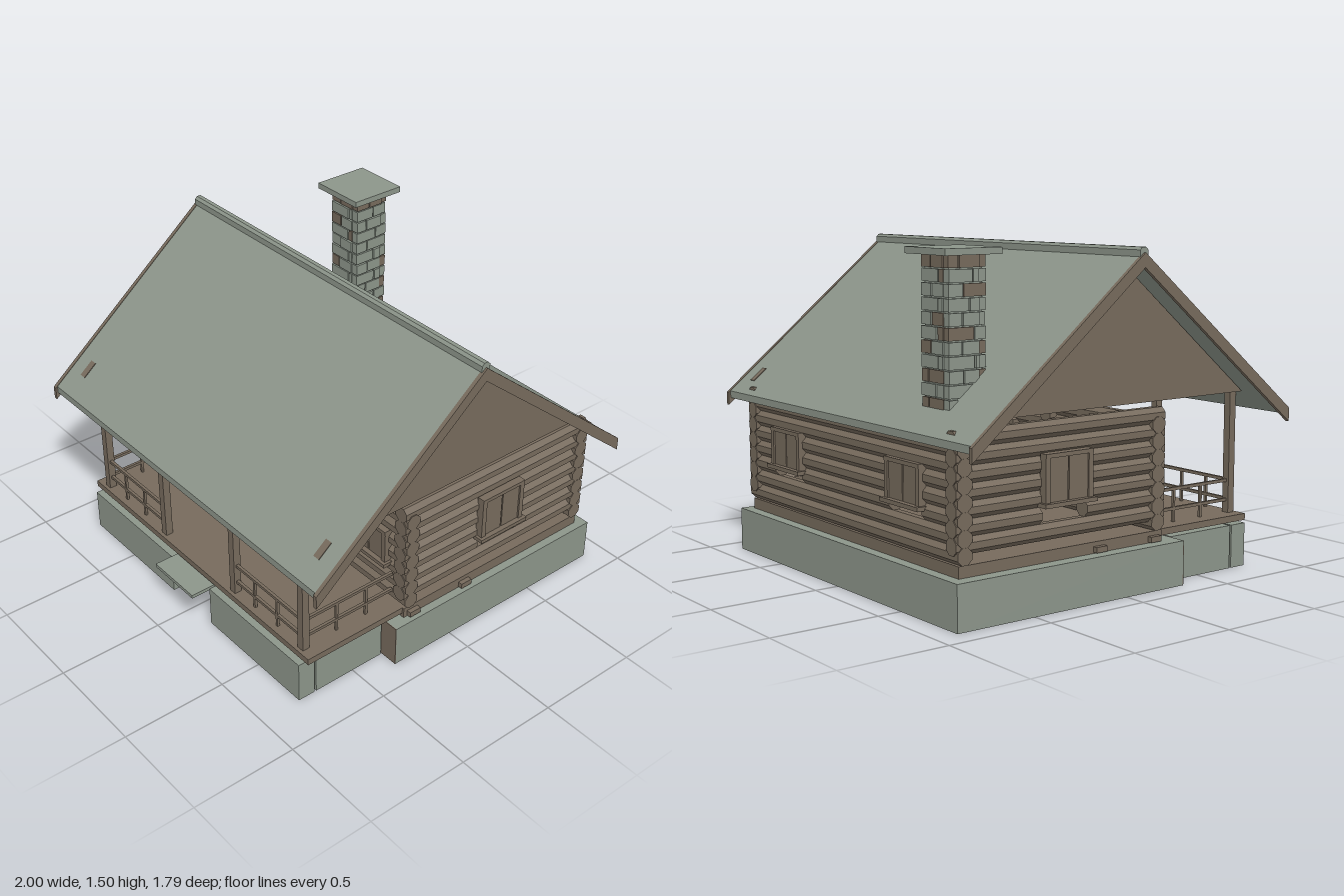
import * as THREE from 'three';

const mat = (name, color) => Object.assign(new THREE.MeshStandardMaterial({ color, flatShading: true }), { name });

export function createModel() {
  const root = new THREE.Group();
  root.name = 'logCabin';
  const wood = mat('brown wood', 0x766a5c);
  const stone = mat('grey green stone', 0x8c958a);

  const group = (name) => {
    const g = new THREE.Group();
    g.name = name;
    root.add(g);
    return g;
  };
  const add = (parent, name, geo, m) => {
    const mesh = new THREE.Mesh(geo, m);
    mesh.name = name;
    parent.add(mesh);
    return mesh;
  };
  // Box given by its limits on each axis
  const box = (parent, name, m, x0, x1, y0, y1, z0, z1) => {
    const mesh = add(parent, name, new THREE.BoxGeometry(x1 - x0, y1 - y0, z1 - z0), m);
    mesh.position.set((x0 + x1) / 2, (y0 + y1) / 2, (z0 + z1) / 2);
    return mesh;
  };
  // Eight-sided log running along x or z
  const log = (parent, axis, a, b, y, side) => {
    const geo = new THREE.CylinderGeometry(0.0385, 0.0385, b - a, 8).rotateY(Math.PI / 8);
    if (axis === 'x') geo.rotateZ(Math.PI / 2);
    else geo.rotateX(Math.PI / 2);
    const mesh = add(parent, 'log', geo, wood);
    if (axis === 'x') mesh.position.set((a + b) / 2, y, side);
    else mesh.position.set(side, y, (a + b) / 2);
  };
  const PITCH = 0.0714;
  // Stacked log wall; openings are [from, to, firstRow, lastRow]
  const logWall = (name, axis, a, b, y0, side, openings) => {
    const g = group(name);
    for (let i = 0; i < 7; i++) {
      let start = a;
      for (const [from, to, first, last] of openings) {
        if (i < first || i > last) continue;
        log(g, axis, start, from, y0 + i * PITCH, side);
        start = to;
      }
      log(g, axis, start, b, y0 + i * PITCH, side);
    }
  };

  // Foundation: solid under the cabin, hollow under the porch
  const base = group('foundation');
  box(base, 'mainFoundation', stone, -0.9, 0.88, 0, 0.2, -0.89, 0.325);
  for (const [x0, x1] of [[-0.9, -0.15], [0.14, 0.88]])
    box(base, 'foundationFrontFace', wood, x0, x1, 0, 0.2, 0.325, 0.329);
  for (const [x0, x1] of [[-0.81, -0.16], [0.14, 0.79]])
    box(base, 'porchFrontWall', stone, x0, x1, 0, 0.2, 0.715, 0.8);
  for (const x of [-0.81, 0.71])
    box(base, 'porchSideWall', stone, x, x + 0.08, 0, 0.2, 0.335, 0.705);

  // Floors, joist ends and steps
  const floor = group('floor');
  box(floor, 'cabinFloor', wood, -0.84, 0.84, 0.2, 0.25, -0.84, 0.25);
  box(floor, 'porchDeck', wood, -0.83, 0.83, 0.22, 0.25, 0.25, 0.78);
  for (const s of [-1, 1]) for (const z of [0.2, -0.11])
    box(floor, 'joistEnd', wood, s * 0.85 - 0.012, s * 0.85 + 0.012, 0.205, 0.23, z - 0.03, z + 0.03);
  box(floor, 'frontStep', stone, -0.15, 0.14, 0.195, 0.212, 0.7, 0.895);
  box(floor, 'doorStep', stone, -0.15, 0.14, 0.25, 0.272, 0.24, 0.34);

  // Interlocking log walls
  for (const s of [-1, 1])
    logWall('sideWall', 'z', -0.855, 0.258, 0.326, s * 0.81, [[-0.42, -0.18, 1, 4]]);
  logWall('backWall', 'x', -0.85, 0.85, 0.288, -0.815,
    [[-0.6, -0.36, 2, 4], [0.36, 0.6, 2, 4]]);
  logWall('frontWall', 'x', -0.85, 0.85, 0.288, 0.218,
    [[-0.72, -0.5, 2, 4], [-0.4, -0.24, 2, 4], [-0.11, 0.11, 0, 4], [0.24, 0.4, 2, 4], [0.5, 0.72, 2, 4]]);
  const stubs = group('partitionLogEnds');
  for (const x of [-0.45, -0.14, 0.14, 0.45])
    for (let i = 0; i < 6; i++) log(stubs, 'z', 0.16, 0.262, 0.326 + i * PITCH, x);

  // Shuttered window facing +z, then turned onto its wall
  const shutters = (name, width, height, x, z, turn) => {
    const g = group(name);
    const w = width / 2;
    for (const s of [-1, 1]) {
      const c = s * w / 2;
      box(g, 'leaf', wood, c - w / 2 + 0.003, c + w / 2 - 0.003, 0, height, -0.012, 0.004);
      box(g, 'sideFrame', wood, s * w - 0.012, s * w + 0.012, 0, height, -0.025, 0.012);
    }
    box(g, 'header', wood, -w - 0.012, w + 0.012, height - 0.018, height, -0.025, 0.014);
    box(g, 'sill', wood, -w - 0.025, w + 0.025, -0.012, 0.006, -0.025, 0.028);
    g.position.set(x, 0.45, z);
    g.rotation.y = turn;
  };
  for (const s of [-1, 1]) {
    shutters('sideWindow', 0.23, 0.21, s * 0.862, -0.3, s * Math.PI / 2);
    shutters('backWindow', 0.23, 0.18, s * 0.48, -0.858, Math.PI);
    shutters('outerFrontWindow', 0.21, 0.17, s * 0.615, 0.262, 0);
    shutters('innerFrontWindow', 0.15, 0.17, s * 0.32, 0.262, 0);
  }

  // Plank door with battens
  const door = group('door');
  for (let i = 0; i < 4; i++)
    box(door, 'plank', wood, -0.098 + i * 0.05, -0.052 + i * 0.05, 0.272, 0.61, 0.235, 0.255);
  for (const y of [0.34, 0.53]) box(door, 'batten', wood, -0.085, 0.085, y, y + 0.02, 0.255, 0.262);
  for (const s of [-1, 1]) box(door, 'jamb', wood, s * 0.11 - 0.01, s * 0.11 + 0.01, 0.25, 0.625, 0.2, 0.265);
  box(door, 'lintel', wood, -0.12, 0.12, 0.61, 0.63, 0.2, 0.268);

  // Porch posts and railings
  const porch = group('porch');
  for (const x of [-0.755, -0.27, 0.27, 0.755])
    box(porch, 'post', wood, x - 0.018, x + 0.018, 0.25, 0.815, 0.727, 0.763);
  for (const s of [-1, 1]) {
    const [x0, x1] = s > 0 ? [0.27, 0.755] : [-0.755, -0.27];
    for (const y of [0.4, 0.31]) {
      box(porch, 'frontRail', wood, x0, x1, y - 0.007, y + 0.007, 0.738, 0.752);
      box(porch, 'sideRail', wood, s * 0.755 - 0.007, s * 0.755 + 0.007, y - 0.007, y + 0.007, 0.25, 0.73);
    }
    for (const t of [0.3, 0.63]) {
      const x = x0 + (x1 - x0) * t;
      const z = 0.25 + 0.5 * t;
      box(porch, 'baluster', wood, x - 0.006, x + 0.006, 0.25, 0.4, 0.739, 0.751);
      box(porch, 'baluster', wood, s * 0.755 - 0.006, s * 0.755 + 0.006, 0.25, 0.4, z - 0.006, z + 0.006);
    }
  }

  // Roof: profiles in (z, y) extruded along x
  const roof = group('roof');
  const profile = (name, m, points, x0, x1) => {
    const shape = new THREE.Shape(points.map(([z, y]) => new THREE.Vector2(z, y)));
    const geo = new THREE.ExtrudeGeometry(shape, { depth: x1 - x0, bevelEnabled: false });
    geo.rotateY(-Math.PI / 2);
    geo.translate(x1, 0, 0);
    add(roof, name, geo, m);
  };
  const chevron = (rise, drop, reach) => {
    const eave = 1.465 - 0.815 * reach + rise;
    return [[reach - 0.01, eave], [-0.01, 1.465 + rise], [-reach - 0.01, eave],
      [-reach - 0.01, eave - drop], [-0.01, 1.465 + rise - drop], [reach - 0.01, eave - drop]];
  };
  profile('roofSlopes', stone, chevron(0, 0.033, 0.87), -0.98, 0.98);
  for (const x of [-0.999, 0.98])
    profile('bargeboard', wood, chevron(0.003, 0.062, 0.88), x, x + 0.019);
  profile('ridgeCap', stone, [[0.012, 1.45], [0.012, 1.478], [0, 1.49], [-0.02, 1.49], [-0.032, 1.478], [-0.032, 1.45]], -0.99, 0.99);
  for (const s of [-1, 1])
    profile('gable', wood, [[0.73, 0.82], [-0.01, 1.43], [-0.75, 0.82]], s * 0.83 - 0.012, s * 0.83 + 0.012);

  // Small rafter end plates on the slopes
  for (const [x, z] of [[-0.88, 0.74], [0.88, 0.74], [0.88, -0.78]]) {
    const s = Math.sign(z);
    const plate = add(roof, 'rafterEnd', new THREE.BoxGeometry(0.034, 0.008, 0.085), wood);
    plate.position.set(x, 1.465 - 0.815 * Math.abs(z + 0.01), z);
    plate.rotation.x = s * Math.atan(0.815);
  }

  // Chimney of uneven stones laid in pinwheel courses
  const chimney = group('chimney');
  let seed = 7;
  const rand = () => (seed = (seed * 16807) % 2147483647) / 2147483647;
  const CX = -0.585, CZ = -0.678, R = 0.09;
  box(chimney, 'core', stone, CX - 0.083, CX + 0.083, 0.25, 1.46, CZ - 0.083, CZ + 0.083);
  const COURSES = 21, H = 1.22 / COURSES;
  for (let i = 0; i < COURSES; i++) {
    const y = 0.25 + i * H;
    for (let k = 0; k < 4; k++) {
      const side = new THREE.Group();
      side.name = 'stoneCourse';
      side.position.set(CX, 0, CZ);
      side.rotation.y = k * Math.PI / 2;
      chimney.add(side);
      const split = (i % 2 ? 0.025 : -0.03) + (rand() - 0.5) * 0.03;
      for (const [x0, x1] of [[-R, split - 0.003], [split + 0.003, R - 0.03]]) {
        const m = i === COURSES - 1 || rand() < 0.14 ? wood : stone;
        box(side, 'stone', m, x0, x1, y + 0.003, y + H - 0.003, R - 0.03, R + 0.002 + rand() * 0.006);
      }
    }
  }
  box(chimney, 'cap', stone, -0.73, -0.445, 1.467, 1.495, -0.82, -0.54);

  return root;
}
